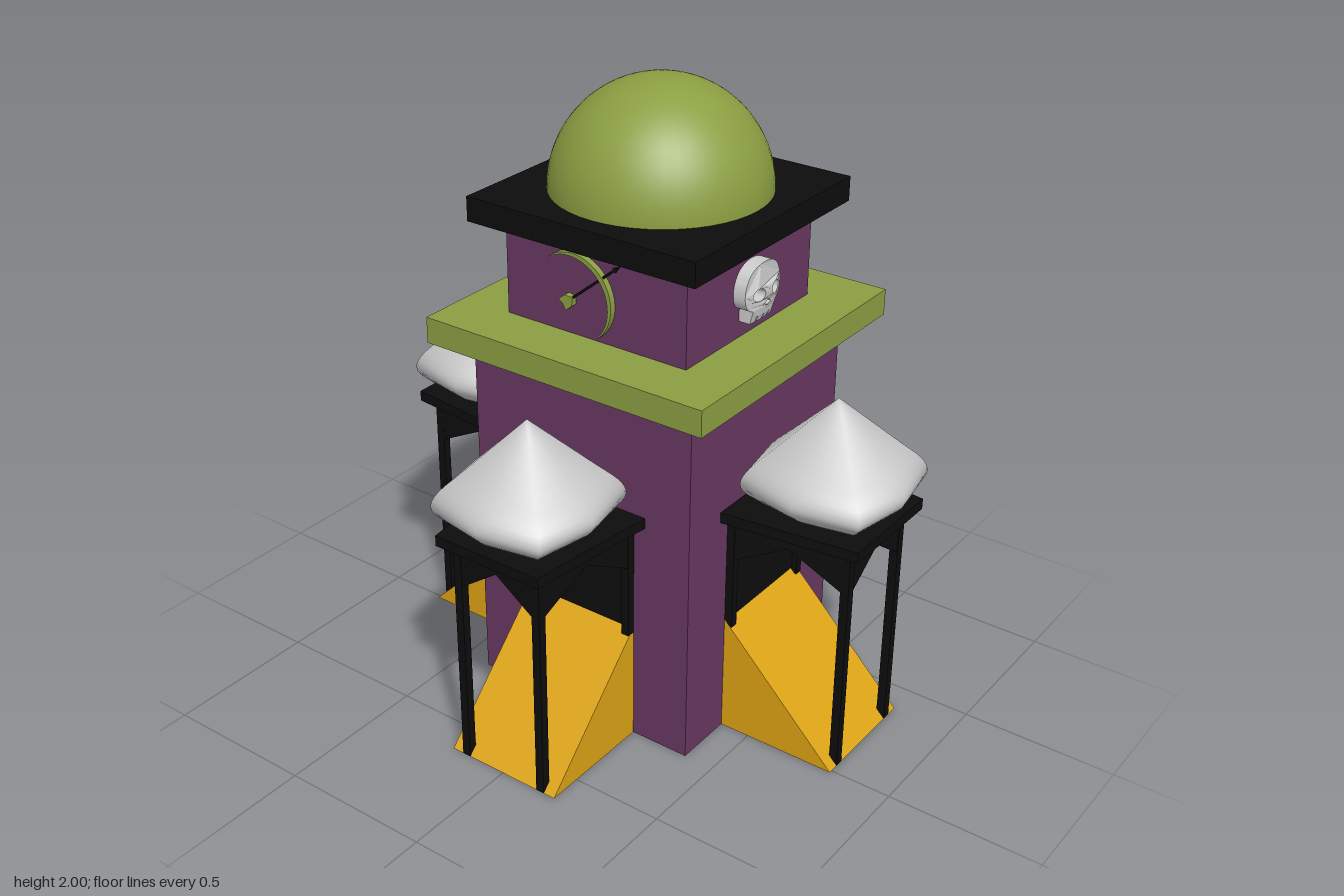
import * as THREE from 'three';
import { mergeVertices } from 'three/addons/utils/BufferGeometryUtils.js';

const mat = (color, side = THREE.FrontSide) => new THREE.MeshStandardMaterial({ color, side });
const purple = mat(0x673761), green = mat(0x8b9f42), black = mat(0x0d0d0d);
const orange = mat(0xdca314), grey = mat(0xcccccc, THREE.DoubleSide);

function add(parent, name, geometry, material, x = 0, y = 0, z = 0) {
  const mesh = new THREE.Mesh(geometry, material);
  mesh.name = name;
  mesh.position.set(x, y, z);
  parent.add(mesh);
  return mesh;
}

// Box standing between two heights
function block(parent, name, w, y0, y1, d, material, x = 0, z = 0) {
  return add(parent, name, new THREE.BoxGeometry(w, y1 - y0, d), material, x, (y0 + y1) / 2, z);
}

const polygon = (pts) => new THREE.Shape(pts.map(([x, y]) => new THREE.Vector2(x, y)));
const extrude = (shape, depth, options = {}) =>
  new THREE.ExtrudeGeometry(shape, { depth, bevelEnabled: false, curveSegments: 20, ...options });

// Pointed bulb roof: eight sides, pushed out at the corners towards a square
function roofGeometry() {
  const profile = new THREE.SplineCurve([
    [0.13, 0.8], [0.185, 0.83], [0.228, 0.87], [0.236, 0.905], [0.215, 0.945],
    [0.165, 0.995], [0.1, 1.06], [0.05, 1.11], [0.0, 1.16],
  ].map(([r, y]) => new THREE.Vector2(r, y))).getPoints(24);
  profile[24].x = 0;
  const lathe = new THREE.LatheGeometry(profile, 8);
  const p = lathe.attributes.position;
  for (let i = 0; i < p.count; i++) {
    const x = p.getX(i), z = p.getZ(i);
    if (Math.abs(x) > 1e-4 && Math.abs(z) > 1e-4) p.setXYZ(i, x * 1.2, p.getY(i), z * 1.2);
  }
  lathe.deleteAttribute('uv');
  lathe.deleteAttribute('normal');
  const merged = mergeVertices(lathe, 1e-4);
  merged.computeVertexNormals();
  return merged;
}

// Beam with a peaked underside between two posts, given as [x, z]
function peakedBeam(parent, a, b) {
  const dx = b[0] - a[0], dz = b[1] - a[1], L = Math.hypot(dx, dz);
  const shape = polygon([[0, 0.625], [0.013, 0.625], [L / 2, 0.72], [L - 0.013, 0.625], [L, 0.625], [L, 0.775], [0, 0.775]]);
  const beam = add(parent, 'peakedBeam', extrude(shape, 0.024).translate(0, 0, -0.012), black, a[0], 0, a[1]);
  beam.rotation.y = -Math.atan2(dz, dx);
}

// Porch facing +z, measured from the tower's axis
function createPorch(name) {
  const porch = new THREE.Group();
  porch.name = name;
  const ramp = extrude(polygon([[0.4, 0], [0.8, 0], [0.4, 0.4]]), 0.4);
  add(porch, 'ramp', ramp.rotateY(-Math.PI / 2).translate(0.2, 0, 0), orange);
  block(porch, 'doorway', 0.4, 0.4, 0.77, 0.01, black, 0, 0.403);
  const outer = [0.146, 0.786], inner = [0.187, 0.413];
  for (const s of [-1, 1]) {
    block(porch, 'outerPost', 0.028, 0, 0.775, 0.028, black, s * outer[0], outer[1]);
    block(porch, 'innerPost', 0.026, 0.38, 0.775, 0.026, black, s * inner[0], inner[1]);
    peakedBeam(porch, [s * inner[0], inner[1]], [s * outer[0], outer[1]]);
  }
  peakedBeam(porch, [-outer[0], outer[1]], [outer[0], outer[1]]);
  const slab = polygon([[-0.24, 0.4], [0.24, 0.4], [0.19, 0.84], [-0.19, 0.84]]);
  add(porch, 'canopySlab', extrude(slab, 0.035).rotateX(Math.PI / 2), black, 0, 0.802, 0);
  add(porch, 'bulbRoof', roofGeometry(), grey, 0, 0, 0.64);
  return porch;
}

// Bow and arrow relief, arrow along +x before tilting
function createBow() {
  const bow = new THREE.Group();
  bow.name = 'bowAndArrow';
  const outer = [], inner = [];
  for (let i = 0; i <= 24; i++) {
    const a = -Math.PI / 2 + (Math.PI * i) / 24, r = 0.14, t = 0.002 + 0.014 * Math.cos(a);
    outer.push([r * Math.cos(a), r * Math.sin(a)]);
    inner.unshift([(r - t) * Math.cos(a), (r - t) * Math.sin(a)]);
  }
  add(bow, 'bowLimb', extrude(polygon([...outer, ...inner]), 0.02), green);
  const shaft = new THREE.CylinderGeometry(0.004, 0.004, 0.24, 8).rotateZ(Math.PI / 2);
  add(bow, 'arrowShaft', shaft, black, 0.085, 0, 0.012);
  const tip = new THREE.ConeGeometry(0.009, 0.03, 4).rotateZ(-Math.PI / 2);
  add(bow, 'arrowTip', tip, black, 0.205, 0, 0.012);
  const feather = polygon([[-0.045, 0], [-0.05, 0.02], [-0.02, 0.02], [0.0, 0], [-0.02, -0.02], [-0.05, -0.02]]);
  add(bow, 'arrowFeather', extrude(feather, 0.02), green);
  bow.rotation.z = 0.69;
  return bow;
}

// Skull relief facing +z, with holes for eyes and nose
function skullGeometry() {
  const s = new THREE.Shape();
  s.moveTo(-0.058, -0.095);
  for (let i = 0; i < 4; i++) {
    const x = -0.058 + i * 0.029;
    s.lineTo(x + 0.024, -0.095);
    if (i < 3) {
      s.lineTo(x + 0.0245, -0.075);
      s.lineTo(x + 0.0285, -0.075);
      s.lineTo(x + 0.029, -0.095);
    }
  }
  s.lineTo(0.058, -0.052);
  s.bezierCurveTo(0.1, -0.045, 0.098, 0.02, 0.08, 0.045);
  s.bezierCurveTo(0.055, 0.1, -0.055, 0.1, -0.08, 0.045);
  s.bezierCurveTo(-0.098, 0.02, -0.1, -0.045, -0.058, -0.052);
  s.closePath();
  for (const x of [-0.042, 0.042]) {
    s.holes.push(new THREE.Path().absellipse(x, -0.003, 0.024, 0.02, 0, Math.PI * 2, true));
  }
  s.holes.push(new THREE.Path([[0, -0.024], [0.016, -0.038], [0, -0.046], [-0.016, -0.038]].map((p) => new THREE.Vector2(...p))));
  const geo = extrude(s, 0.05);
  // Round the face: lower the front towards the rim
  const p = geo.attributes.position;
  for (let i = 0; i < p.count; i++) {
    if (p.getZ(i) < 0.01) continue;
    const r2 = (p.getX(i) / 0.09) ** 2 + (p.getY(i) / 0.095) ** 2;
    p.setZ(i, 0.064 - 0.022 * Math.min(r2, 1.2));
  }
  geo.computeVertexNormals();
  return geo;
}

export function createModel() {
  const model = new THREE.Group();
  model.name = 'domedTower';
  const tower = new THREE.Group();
  tower.name = 'tower';
  tower.position.z = -0.19;
  model.add(tower);

  // Stacked body
  block(tower, 'lowerBody', 0.8, 0, 1.2, 0.8, purple);
  block(tower, 'ledge', 1, 1.2, 1.285, 1, green);
  block(tower, 'upperBody', 0.65, 1.285, 1.585, 0.65, purple);
  block(tower, 'topSlab', 0.81, 1.585, 1.663, 0.81, black);
  const dome = new THREE.SphereGeometry(0.337, 48, 20, 0, Math.PI * 2, 0, Math.PI / 2);
  add(tower, 'dome', dome, green, 0, 1.663, 0);

  // Porches on the front and both sides
  [['frontPorch', 0], ['leftPorch', Math.PI / 2], ['rightPorch', -Math.PI / 2]].forEach(([name, turn]) => {
    const porch = createPorch(name);
    porch.rotation.y = turn;
    tower.add(porch);
  });

  // Wall emblems
  const bow = createBow();
  bow.position.set(-0.065, 1.41, 0.325);
  tower.add(bow);
  const skull = add(tower, 'skullEmblem', skullGeometry(), grey, 0.325, 1.432, 0);
  skull.rotation.y = Math.PI / 2;
  const gem = new THREE.ConeGeometry(1, 0.065, 8).rotateZ(Math.PI / 2).scale(1, 0.133, 0.068);
  add(tower, 'gemEmblem', gem, green, -0.3575, 1.432, 0);
  return model;
}
